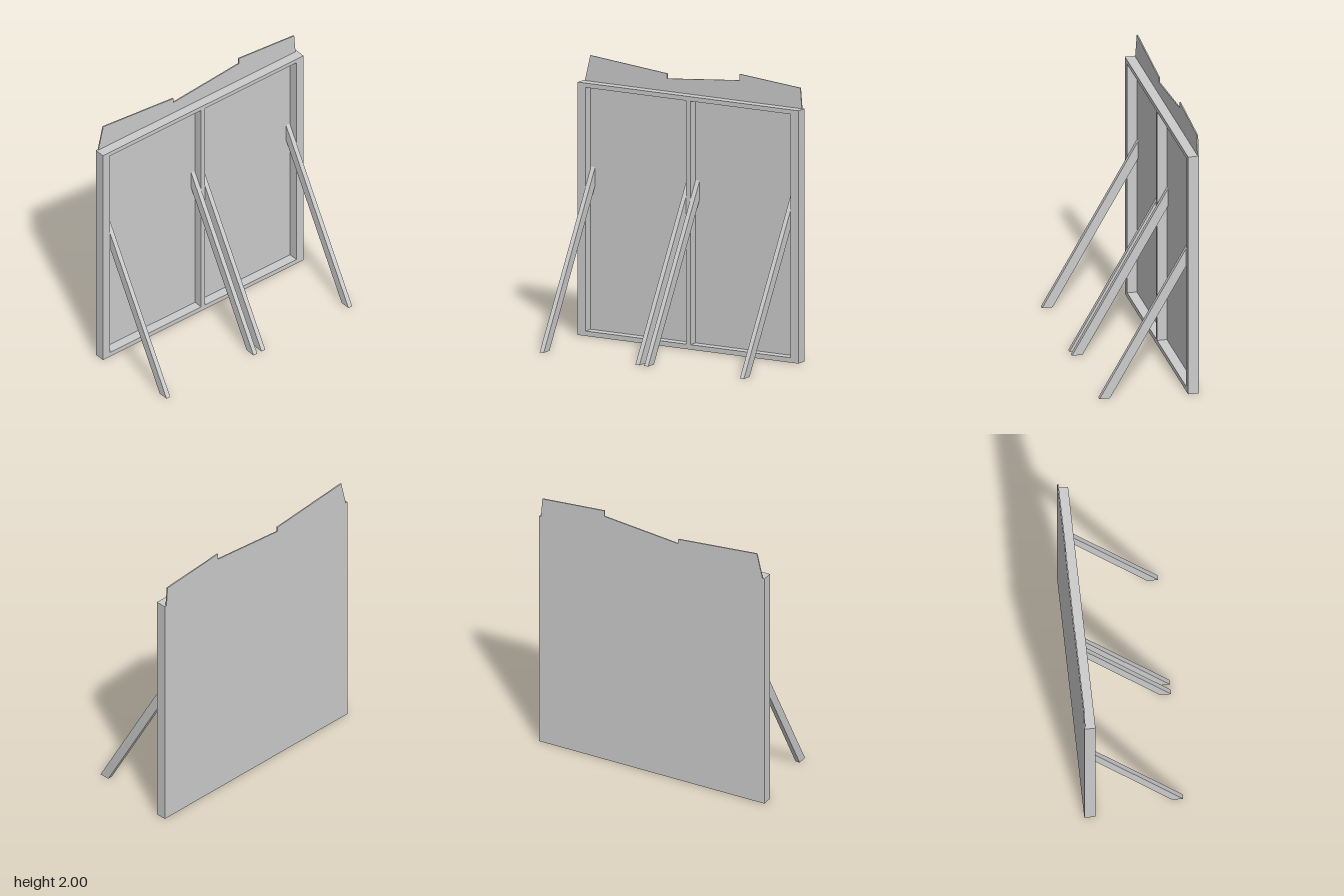
import * as THREE from 'three';

export function createModel() {
  const group = new THREE.Group();
  const mat = new THREE.MeshStandardMaterial({ color: 0xcccccc, flatShading: true });
  const BACK = -0.351, PANEL = -0.342, FRONT = -0.272; // depth planes

  const add = (name, geo) => {
    const mesh = new THREE.Mesh(geo, mat);
    mesh.name = name;
    group.add(mesh);
    return mesh;
  };
  const outline = pts => new THREE.Shape(pts.map(p => new THREE.Vector2(...p)));
  const extrude = (shape, depth) => new THREE.ExtrudeGeometry(shape, { depth, bevelEnabled: false });

  // Thin sheet with a stepped, sloping top edge
  const sheet = outline([
    [-0.903, 0], [0.903, 0], [0.903, 1.81], [0.888, 1.81], [0.876, 1.957],
    [0.378, 2], [0.378, 1.955], [-0.213, 1.9], [-0.213, 1.936], [-0.843, 1.995],
    [-0.887, 1.81], [-0.903, 1.81],
  ]);
  add('backPanel', extrude(sheet, PANEL - BACK)).position.z = BACK;

  // Timber frame with two openings either side of a centre stile
  const frame = outline([[-0.903, 0], [0.903, 0], [0.903, 1.81], [-0.903, 1.81]]);
  for (const [x0, x1] of [[-0.839, -0.018], [0.018, 0.839]]) {
    frame.holes.push(outline([[x0, 0.035], [x0, 1.778], [x1, 1.778], [x1, 0.035]]));
  }
  add('frame', extrude(frame, FRONT - PANEL)).position.z = PANEL;

  // Sloping braces, from the ground to the panel, beside the stiles
  // Profile is drawn as (-z, y) and turned so the extrusion runs along x
  const braceShape = outline([[-0.351, 0], [-0.275, 0], [-PANEL, 1.068], [-PANEL, 1.2]]);
  const WIDTH = 0.033;
  for (const [name, x] of [
    ['rightOuterBrace', -0.819], ['rightInnerBrace', -0.036],
    ['leftInnerBrace', 0.036], ['leftOuterBrace', 0.819],
  ]) {
    const brace = add(name, extrude(braceShape, WIDTH));
    brace.rotation.y = Math.PI / 2;
    brace.position.x = x - WIDTH / 2;
  }

  return group;
}
